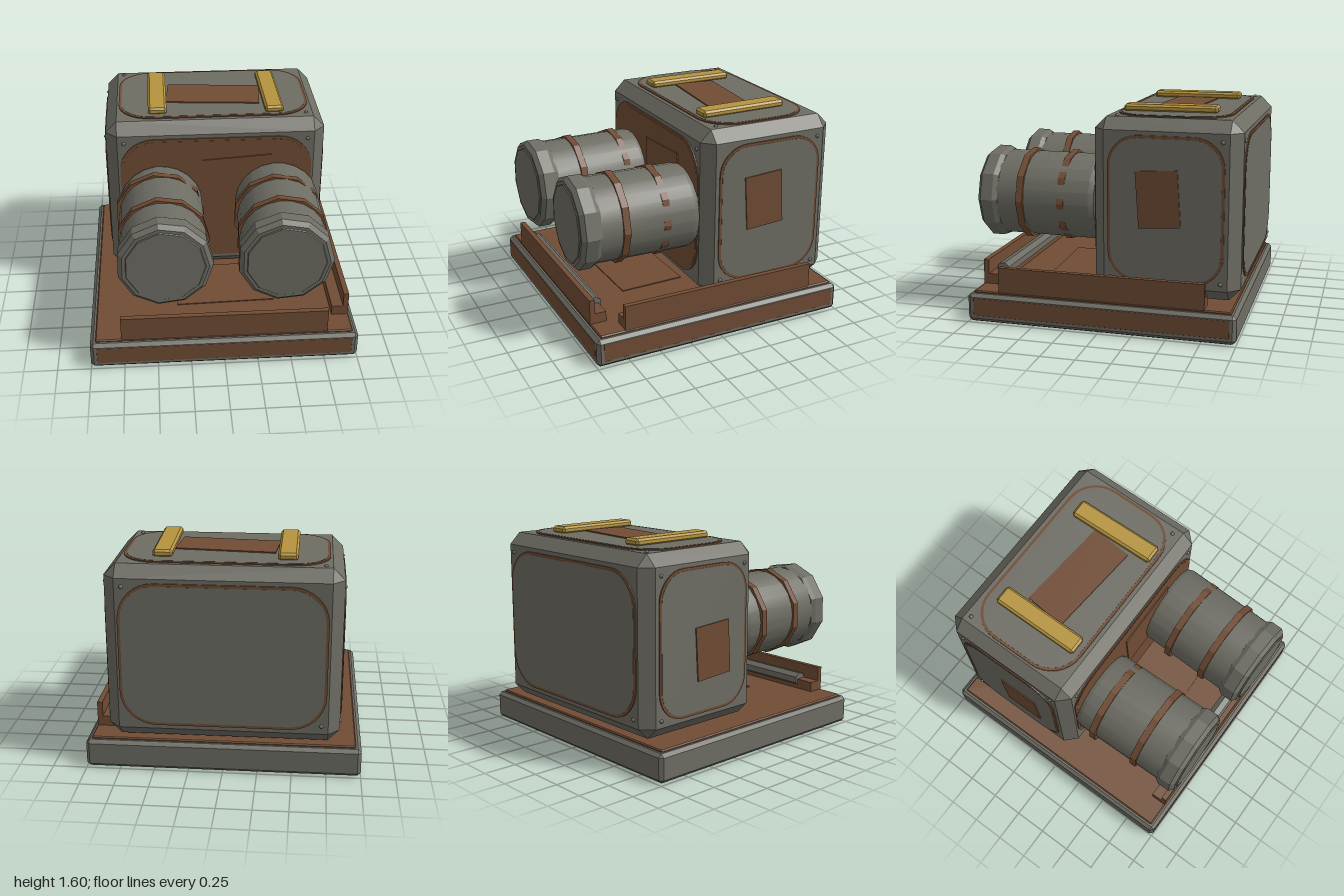
import * as THREE from 'three';
import { toCreasedNormals } from 'three/addons/utils/BufferGeometryUtils.js';
import { ConvexGeometry } from 'three/addons/geometries/ConvexGeometry.js';

const mat = (name, color) => Object.assign(new THREE.MeshStandardMaterial({ color }), { name });

export function createModel() {
  const model = new THREE.Group();
  model.name = 'twinBarrelMachine';
  const steel = mat('weathered steel', 0x6e6d64);
  const rust = mat('rust brown', 0x704c34);
  const brass = mat('brass', 0xb5943f);

  const add = (parent, name, geometry, material, x = 0, y = 0, z = 0) => {
    const mesh = new THREE.Mesh(geometry, material);
    mesh.name = name;
    mesh.position.set(x, y, z);
    parent.add(mesh);
    return mesh;
  };

  // Box with every edge chamfered by c
  const chamferBox = (w, h, d, c) => {
    const pts = [];
    for (const sx of [-1, 1]) for (const sy of [-1, 1]) for (const sz of [-1, 1]) {
      const [x, y, z] = [w / 2, h / 2, d / 2];
      pts.push(new THREE.Vector3(sx * x, sy * (y - c), sz * (z - c)),
        new THREE.Vector3(sx * (x - c), sy * y, sz * (z - c)),
        new THREE.Vector3(sx * (x - c), sy * (y - c), sz * z));
    }
    return new ConvexGeometry(pts);
  };

  // Thin plate in the xy plane with faceted round corners
  const plate = (w, h, r, depth, curveSegments = 4) => {
    const s = new THREE.Shape();
    const [x, y] = [w / 2 - r, h / 2 - r];
    s.absarc(x, y, r, 0, Math.PI / 2);
    s.absarc(-x, y, r, Math.PI / 2, Math.PI);
    s.absarc(-x, -y, r, Math.PI, Math.PI * 1.5);
    s.absarc(x, -y, r, Math.PI * 1.5, Math.PI * 2);
    return new THREE.ExtrudeGeometry(s, { depth, bevelEnabled: false, curveSegments });
  };

  // Base slab with rust deck, bottom trim and side panels
  const base = new THREE.Group();
  base.name = 'base';
  model.add(base);
  add(base, 'baseFrame', chamferBox(2, 0.21, 2, 0.025), steel, 0, 0.113, 0);
  add(base, 'deckPlate', chamferBox(1.92, 0.04, 1.92, 0.008), rust, 0, 0.213, 0);
  add(base, 'bottomTrim', chamferBox(1.94, 0.02, 1.94, 0.008), rust, 0, 0.011, 0);
  add(base, 'bottomPlate', new THREE.BoxGeometry(1.9, 0.01, 1.9), steel, 0, 0.005, 0);
  add(base, 'frontPanel', chamferBox(1.91, 0.14, 0.012, 0.004), rust, 0, 0.12, 0.995);
  const sidePanel = add(base, 'rightPanel', chamferBox(1.91, 0.14, 0.012, 0.004), rust, 0.995, 0.12, 0);
  sidePanel.rotation.y = Math.PI / 2;
  const floorPatch = add(base, 'floorPatch', new THREE.BoxGeometry(0.75, 0.009, 0.5), rust, 0.03, 0.236, 0.31);
  floorPatch.rotation.y = 0.03;

  // L-shaped rails along the front and one side
  const railShape = new THREE.Shape([[0, 0], [0.125, 0], [0.125, 0.19], [0.085, 0.19], [0.085, 0.08], [0, 0.08]]
    .map(([x, y]) => new THREE.Vector2(x, y)));
  const railGeo = new THREE.ExtrudeGeometry(railShape, { depth: 1.535, bevelEnabled: false });
  add(base, 'sideRail', railGeo, rust, 0.83, 0.23, -0.768);
  const frontRail = add(base, 'frontRail', railGeo, rust, 0.768, 0.23, 0.835);
  frontRail.rotation.y = -Math.PI / 2;
  const rod = add(base, 'looseRod', toCreasedNormals(new THREE.CylinderGeometry(0.055, 0.055, 1.25, 7), 0.3),
    steel, 0, 0.305, 0.865);
  rod.rotation.z = Math.PI / 2;

  // Chamfered housing
  const housing = new THREE.Group();
  housing.name = 'housing';
  housing.position.set(-0.005, 0.895, -0.455);
  model.add(housing);
  add(housing, 'housingShell', chamferBox(1.67, 1.29, 1.07, 0.085), steel);

  // Face panels: rim, fill, tilted patch [x, y, w, h, angle], rivets
  const faces = [
    { name: 'front', rot: [0, 0, 0], off: 0.535, w: 1.47, h: 1.06, r: 0.26, fill: rust,
      patch: [0.175, 0.1, 0.535, 0.53, 0.065], rivets: [[-0.7, 0.5], [0.7, 0.5]] },
    { name: 'back', rot: [0, Math.PI, 0], off: 0.535, w: 1.47, h: 1.06, r: 0.26, fill: steel,
      rivets: [[-0.7, 0.5], [0.7, -0.5]] },
    { name: 'right', rot: [0, Math.PI / 2, 0], off: 0.835, w: 0.84, h: 1.06, r: 0.22, fill: steel,
      patch: [-0.05, 0.08, 0.305, 0.41, 0.065], rivets: [[0.4, -0.51], [-0.4, -0.51], [0.4, 0.5]] },
    { name: 'left', rot: [0, -Math.PI / 2, 0], off: 0.835, w: 0.84, h: 1.06, r: 0.22, fill: steel,
      patch: [0.08, -0.085, 0.32, 0.39, 0.06], rivets: [[-0.4, 0.5], [-0.4, -0.51], [0.4, 0.5]] },
    { name: 'top', rot: [-Math.PI / 2, 0, 0], off: 0.645, w: 1.47, h: 0.84, r: 0.25, fill: steel,
      patch: [0.005, -0.035, 0.73, 0.32, -0.085], rivets: [[-0.7, 0.405], [0.7, -0.385]] },
  ];
  const rivetGeo = new THREE.SphereGeometry(0.015, 8, 6);
  for (const f of faces) {
    const side = new THREE.Group();
    side.name = f.name + 'Face';
    side.rotation.set(...f.rot);
    housing.add(side);
    add(side, 'panelRim', plate(f.w, f.h, f.r, 0.009), rust, 0, 0, f.off);
    add(side, 'panelFill', plate(f.w - 0.04, f.h - 0.04, f.r - 0.02, 0.009), f.fill, 0, 0, f.off + 0.002);
    if (f.patch) {
      const [x, y, w, h, a] = f.patch;
      add(side, 'repairPatch', new THREE.BoxGeometry(w, h, 0.02), rust, x, y, f.off + 0.01).rotation.z = a;
    }
    for (const [x, y] of f.rivets) add(side, 'rivet', rivetGeo, steel, x, y, f.off);
  }

  // Brass bars on the roof
  for (const [x, z, turn] of [[-0.443, -0.435, 0], [0.445, -0.415, 0.02]]) {
    add(model, 'roofBar', chamferBox(0.142, 0.055, 0.69, 0.016), brass, x, 1.572, z).rotation.y = turn;
  }

  // Barrels: lathes turned so their axis runs along z
  const START = Math.PI + 0.12;
  const lathe = (profile, sides, crease) => toCreasedNormals(
    new THREE.LatheGeometry(profile.map(([r, z]) => new THREE.Vector2(r, z)), sides, START)
      .rotateX(Math.PI / 2), crease);
  const bandGeo = (r) => lathe([[r - 0.04, -0.026], [r, -0.026], [r, 0.026], [r - 0.04, 0.026]], 11, 0.3);
  const bodyGeo = lathe([[0, 0.08], [0.305, 0.08], [0.32, 0.12], [0.32, 0.86], [0, 0.86]], 22, 0.4);
  const capGeo = lathe([[0.3, 0.825], [0.327, 0.83], [0.347, 0.865], [0.347, 0.955], [0.315, 0.985], [0, 0.985]], 11, 0.3);
  const lidGeo = lathe([[0.295, 0.98], [0.285, 0.992], [0, 0.992]], 11, 0.2);
  const barrels = [
    { name: 'barrelA', x: -0.44, turn: 0.014, bands: [0.25, 0.62] },
    { name: 'barrelB', x: 0.468, turn: -0.034, bands: [0.335, 0.65] },
  ];
  for (const b of barrels) {
    const barrel = new THREE.Group();
    barrel.name = b.name;
    barrel.position.set(b.x, 0.89, 0);
    barrel.rotation.y = b.turn;
    model.add(barrel);
    add(barrel, 'barrelBody', bodyGeo, steel);
    add(barrel, 'barrelCap', capGeo, steel);
    add(barrel, 'barrelLid', lidGeo, steel);
    add(barrel, 'rearBand', bandGeo(0.338), rust, -0.012, 0, b.bands[0]);
    add(barrel, 'frontBand', bandGeo(0.342), rust, 0, 0, b.bands[1]);
  }
  return model;
}
